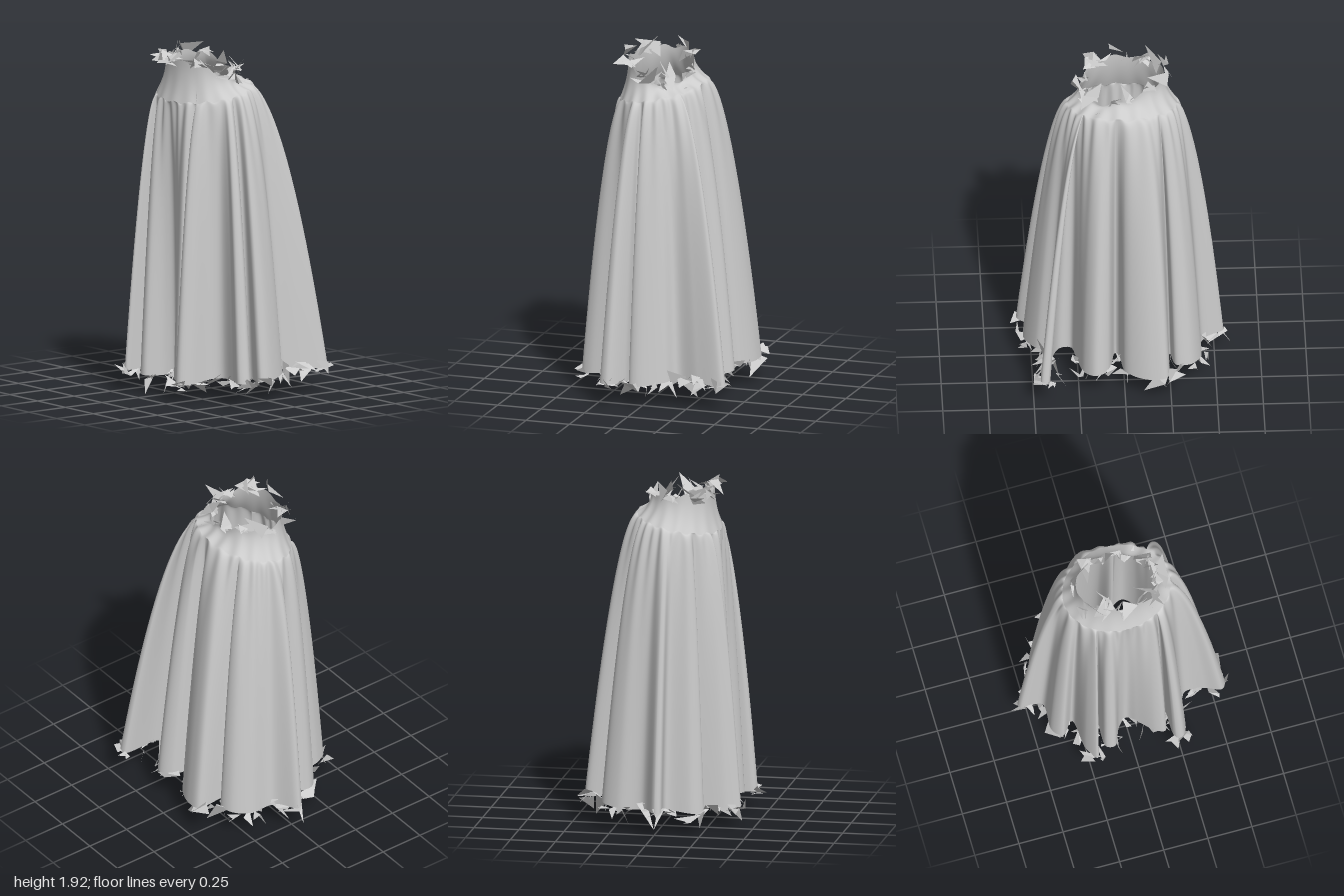
import * as THREE from 'three';

const N = 480;    // columns around the skirt
const ROWS = 32;  // rows down the skirt

// Hem outline (x, z): front centre -> left side -> back -> right side
const HEM = [
  [0, 0.24], [0.05, 0.28], [0.14, 0.36], [0.19, 0.37], [0.2, 0.24], [0.215, 0.26], [0.23, 0.42],
  [0.27, 0.43], [0.3, 0.38], [0.31, 0.24], [0.35, 0.19], [0.46, 0.2], [0.55, 0.23], [0.575, 0.18],
  [0.48, 0.11], [0.39, 0.09], [0.42, 0.05], [0.53, 0.07], [0.545, 0.02], [0.48, -0.12], [0.41, -0.17],
  [0.44, -0.3], [0.46, -0.45], [0.42, -0.45], [0.4, -0.25], [0.35, -0.14], [0.29, -0.13], [0.26, -0.22],
  [0.22, -0.36], [0.16, -0.41], [0.09, -0.37], [0.05, -0.21], [0.03, -0.23], [0, -0.36],
  [-0.06, -0.41], [-0.15, -0.44], [-0.23, -0.43], [-0.24, -0.28], [-0.25, -0.22], [-0.28, -0.32],
  [-0.36, -0.31], [-0.42, -0.22], [-0.43, -0.08], [-0.55, 0.01], [-0.54, 0.04], [-0.42, 0.05],
  [-0.41, 0.2], [-0.36, 0.25], [-0.29, 0.18], [-0.26, 0.36], [-0.21, 0.43], [-0.185, 0.26],
  [-0.16, 0.23], [-0.15, 0.37], [-0.1, 0.38], [-0.05, 0.28],
];

// Small seeded random generator
function seeded(seed) {
  return () => {
    seed = (seed * 1664525 + 1013904223) % 4294967296;
    return seed / 4294967296;
  };
}

const hem = new THREE.CatmullRomCurve3(
  HEM.map(([x, z]) => new THREE.Vector3(x, 0, z)), true, 'centripetal',
).getSpacedPoints(N).slice(0, N);

// Evenly flowing angle for each column, 0 at the front, growing towards +x
function columnAngles() {
  let last = 0;
  let drift = hem.map((p, i) => {
    let a = Math.atan2(p.x, p.z - 0.03);
    while (a < last - Math.PI) a += Math.PI * 2;
    last = a;
    return a - (i / N) * Math.PI * 2;
  });
  const reach = 10;
  for (let pass = 0; pass < 2; pass++) {
    drift = drift.map((_, i) => {
      let sum = 0;
      for (let k = -reach; k <= reach; k++) sum += drift[(i + k + N) % N];
      return sum / (2 * reach + 1);
    });
  }
  return drift.map((d, i) => d + (i / N) * Math.PI * 2);
}
const angles = columnAngles();

const hemY = (a) => 0.165 - 0.02 * Math.cos(a) + 0.01 * Math.sin(7 * a);
const gatherY = (a) => 1.705 - 0.045 * Math.cos(a) + 0.006 * Math.sin(17 * a);
const rimY = (a) => 1.88 - 0.1 * Math.max(0, Math.cos(a - 2.25)) + 0.01 * Math.sin(9 * a);

// Waist oval, flaring from the rim (0) to the gathers (1)
const waist = (a, flare, y) => new THREE.Vector3(
  Math.sin(a) * (0.23 + 0.07 * flare), y,
  0.065 - 0.015 * flare + Math.cos(a) * (0.172 + 0.058 * flare));

function yokePoint(i, s) {
  const a = angles[i];
  return waist(a, s * s, THREE.MathUtils.lerp(rimY(a), gatherY(a), s));
}

// Cloth spreads quickly below the gathers, then falls straight to the hem
function skirtPoint(i, s) {
  const a = angles[i];
  const y = THREE.MathUtils.lerp(gatherY(a), hemY(a), Math.pow(s, 1.75));
  const p = waist(a, 1, y).lerp(new THREE.Vector3(hem[i].x, y, hem[i].z), s);
  const pleat = 0.12 * s * Math.exp(-s * 7) * Math.sin(a * 26 + 2 * Math.sin(a * 3));
  p.x += Math.sin(a) * pleat;
  p.z += Math.cos(a) * pleat;
  return p;
}

// Closed tube of cloth through rows of points
function loft(rows, pointAt) {
  const pos = [], index = [];
  for (let j = 0; j <= rows; j++) {
    for (let i = 0; i < N; i++) pos.push(...pointAt(i, j / rows).toArray());
  }
  for (let j = 0; j < rows; j++) {
    for (let i = 0; i < N; i++) {
      const a = j * N + i, d = j * N + (i + 1) % N;
      index.push(a, a + N, d + N, a, d + N, d);
    }
  }
  const geo = new THREE.BufferGeometry();
  geo.setAttribute('position', new THREE.Float32BufferAttribute(pos, 3));
  geo.setIndex(index);
  geo.computeVertexNormals();
  return geo;
}

// Loose pointed scraps scattered along an edge, each a bent pair of triangles
function scraps(count, seed, size, lift, edgeAt) {
  const rnd = seeded(seed), pos = [];
  const offset = (p, r) => {
    const turn = rnd() * Math.PI * 2, up = rnd() * 1.6 - 0.8, flat = Math.sqrt(1 - up * up);
    return new THREE.Vector3(Math.cos(turn) * flat, up, Math.sin(turn) * flat).multiplyScalar(r).add(p);
  };
  for (let k = 0; k < count; k++) {
    const p = edgeAt(Math.floor(((k + rnd()) / count) * N) % N);
    const r = size * (0.6 + 0.8 * rnd());
    const a = offset(p, r * 0.5), b = offset(p, r * 0.5);
    const tip = offset(p, r), tip2 = offset(p, r * 0.7);
    tip.y += lift * rnd();
    for (const v of [a, b, tip, a, tip2, b]) pos.push(v.x, THREE.MathUtils.clamp(v.y, 0, 2), v.z);
  }
  const geo = new THREE.BufferGeometry();
  geo.setAttribute('position', new THREE.Float32BufferAttribute(pos, 3));
  geo.computeVertexNormals();
  return geo;
}

export function createModel() {
  const group = new THREE.Group();
  const cloth = new THREE.MeshStandardMaterial({ color: 0xcccccc, side: THREE.DoubleSide });
  const torn = new THREE.MeshStandardMaterial({ color: 0xcccccc, side: THREE.DoubleSide, flatShading: true });
  const add = (name, geo, mat) => {
    const mesh = new THREE.Mesh(geo, mat);
    mesh.name = name;
    group.add(mesh);
  };

  // Smooth fitted band and the pleated cloth below it
  add('waistYoke', loft(8, yokePoint), cloth);
  add('pleatedSkirt', loft(ROWS, skirtPoint), cloth);

  // Ragged edges
  add('waistScraps', scraps(30, 7, 0.085, 0.05, (i) => yokePoint(i, 0)), torn);
  add('hemScraps', scraps(90, 21, 0.08, -0.06, (i) => skirtPoint(i, 1)), torn);

  return group;
}
